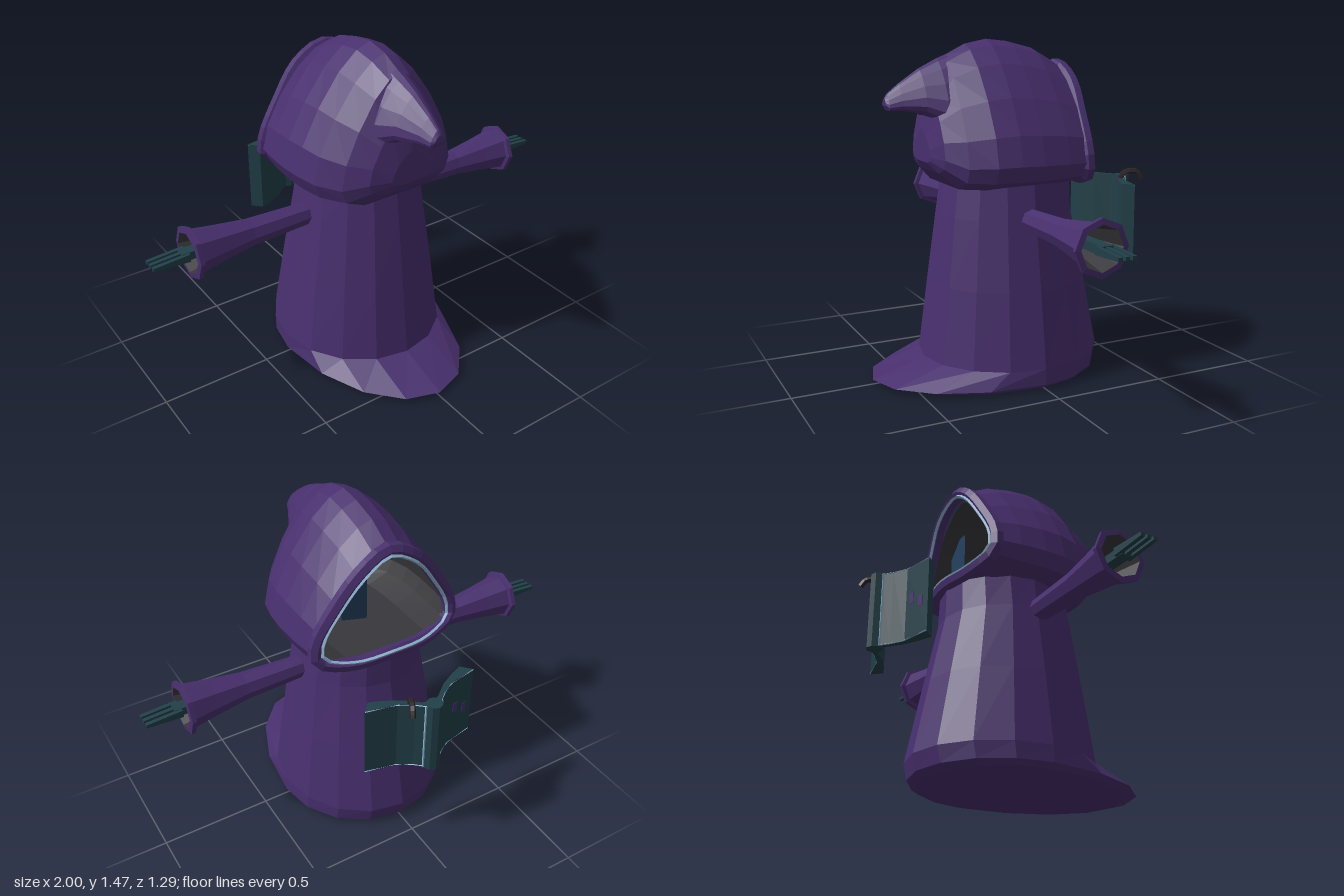
import * as THREE from 'three';

const mat = (name, color, double = false) => {
  const m = new THREE.MeshStandardMaterial({ color });
  m.name = name;
  if (double) m.side = THREE.DoubleSide;
  return m;
};

// Faceted normals for low-poly parts
function facet(geometry) {
  const g = geometry.index ? geometry.toNonIndexed() : geometry;
  g.computeVertexNormals();
  return g;
}

// Skin a list of equal-length rings, each counterclockwise seen from the end
function loft(rings, capStart = false, capEnd = true) {
  const pos = [];
  const tri = (...pts) => pts.forEach((p) => pos.push(p.x, p.y, p.z));
  const n = rings[0].length;
  for (let i = 0; i < rings.length - 1; i++) {
    for (let j = 0; j < n; j++) {
      const k = (j + 1) % n;
      tri(rings[i][j], rings[i][k], rings[i + 1][k]);
      tri(rings[i][j], rings[i + 1][k], rings[i + 1][j]);
    }
  }
  const cap = (ring, flip) => {
    const c = ring.reduce((s, p) => s.add(p), new THREE.Vector3()).divideScalar(n);
    ring.forEach((p, j) => {
      const q = ring[(j + 1) % n];
      flip ? tri(c, q, p) : tri(c, p, q);
    });
  };
  if (capStart) cap(rings[0], true);
  if (capEnd) cap(rings[rings.length - 1], false);
  const g = new THREE.BufferGeometry();
  g.setAttribute('position', new THREE.Float32BufferAttribute(pos, 3));
  g.computeVertexNormals();
  return g;
}

// Horizontal robe ring with separate depths toward -z and +z
function robeRing([y, half, zMinus, zPlus], n = 16) {
  return Array.from({ length: n }, (_, i) => {
    const a = (i / n) * Math.PI * 2;
    const s = -Math.sin(a);
    return new THREE.Vector3(Math.cos(a) * half, y, s > 0 ? s * zPlus : s * zMinus);
  });
}

// Upright hood section, wide at the bottom and pointed at the top
const HALF = [[0, 0], [0.6, 0], [0.92, 0.07], [1, 0.18], [0.92, 0.38], [0.7, 0.62], [0.42, 0.84], [0.18, 0.96], [0, 1]];
const OUTLINE = [...HALF, ...HALF.slice(1, -1).reverse().map(([x, y]) => [-x, y])];
function hoodRing([z, w, yb, yt, lip = 0]) {
  return OUTLINE.map(([x, y]) => new THREE.Vector3(
    x * w, yb + (yt - yb) * y, z - (y < 0.1 ? lip * (1 - x * x) : 0)));
}

export function createModel() {
  const root = new THREE.Group();
  const purple = mat('purple cloth', 0x482f6e);
  const lining = mat('dark lining', 0x38373b, true);
  const teal = mat('teal', 0x213f48);
  const pale = mat('pale blue trim', 0x8fb3d0);
  const blue = mat('blue face', 0x24405f, true);
  const brown = mat('dark brown ribbon', 0x2b2327);
  const add = (name, geometry, material, parent = root) => {
    const m = new THREE.Mesh(geometry, material);
    m.name = name;
    parent.add(m);
    return m;
  };

  // Robe with a trailing hem
  add('robe', loft([
    [0, 0.36, 0.365, 0.58], [0.02, 0.385, 0.4, 0.645], [0.09, 0.383, 0.417, 0.405],
    [0.42, 0.335, 0.35, 0.362], [0.72, 0.287, 0.287, 0.322], [0.87, 0.265, 0.285, 0.3],
  ].map((r) => robeRing(r)), true), purple);

  // Hood shell, drooping tip and dark inside
  const shell = [
    [-0.22, 0.345, 0.865, 1.375, 0.07], [-0.12, 0.36, 0.855, 1.43], [0, 0.367, 0.85, 1.46],
    [0.1, 0.362, 0.85, 1.47], [0.2, 0.342, 0.85, 1.45], [0.3, 0.275, 0.855, 1.4],
    [0.37, 0.19, 0.92, 1.27], [0.4, 0.1, 0.96, 1.1],
  ];
  add('hood', loft(shell.map(hoodRing)), purple);
  add('hoodTip', loft([
    [0.24, 0.17, 1.1, 1.425], [0.33, 0.15, 1.12, 1.39], [0.41, 0.105, 1.165, 1.35],
    [0.5, 0.06, 1.18, 1.29], [0.55, 0.04, 1.18, 1.25], [0.562, 0.025, 1.2, 1.232],
  ].map(hoodRing)), purple);
  add('hoodLining', loft(shell.slice(0, 6).map(([z, w, yb, yt, lip]) =>
    hoodRing([z, w * 0.92, yb + 0.03, yt - 0.05, lip]))), lining);

  // Rolled rim and thin trim around the opening
  const side = [[0.13, 1.29, -0.25], [0.24, 1.15, -0.235], [0.325, 1.0, -0.225], [0.325, 0.92, -0.23], [0.19, 0.875, -0.265]];
  const loop = [[0, 1.355, -0.245], ...side, [0, 0.88, -0.285],
    ...side.slice().reverse().map(([x, y, z]) => [-x, y, z])];
  const ringTube = (scale, dz, r, sides) => facet(new THREE.TubeGeometry(
    new THREE.CatmullRomCurve3(loop.map(([x, y, z]) =>
      new THREE.Vector3(x * scale, 1.08 + (y - 1.08) * scale, z + dz)), true), 36, r, sides, true));
  add('hoodRim', ringTube(1, 0, 0.03, 6), purple);
  add('hoodTrim', ringTube(0.92, -0.022, 0.008, 4), pale);

  // Face panel inside the hood
  const face = new THREE.Shape([[0.05, 1.0], [0.17, 1.03], [0.18, 1.12], [0.1, 1.2], [0.05, 1.2]]
    .map(([x, y]) => new THREE.Vector2(x, y)));
  add('facePanel', new THREE.ShapeGeometry(face), blue).position.z = -0.17;

  // Sleeves with open cuffs, and flat hands
  const v2 = (pts) => pts.map(([r, h]) => new THREE.Vector2(r, h));
  const sleeve = facet(new THREE.LatheGeometry(v2([[0.048, 0.24], [0.052, 0.33], [0.06, 0.55], [0.08, 0.7],
    [0.097, 0.808], [0.115, 0.812], [0.117, 0.832], [0.092, 0.835]]), 8));
  const inner = facet(new THREE.LatheGeometry(v2([[0.001, 0.58], [0.045, 0.58], [0.07, 0.72], [0.092, 0.835]]), 8));
  for (const s of [1, -1]) {
    const arm = new THREE.Group();
    arm.name = s > 0 ? 'leftArm' : 'rightArm';
    arm.position.set(0, 0.717, 0.015);
    root.add(arm);
    for (const [name, g, m] of [['sleeve', sleeve, purple], ['sleeveLining', inner, lining]]) {
      add(name, g, m, arm).rotation.z = -s * Math.PI / 2;
    }
    add('palm', new THREE.BoxGeometry(0.24, 0.036, 0.05), teal, arm).position.x = s * 0.75;
    for (const z of [-0.03, 0, 0.03]) {
      const finger = new THREE.BoxGeometry(0.16, 0.034, 0.018);
      const p = finger.attributes.position;
      for (let i = 0; i < p.count; i++) if (p.getX(i) * s > 0) p.setY(i, p.getY(i) * 0.45);
      add('finger', facet(finger), teal, arm).position.set(s * 0.92, 0, z);
    }
  }

  // Open floating book with curved covers
  const book = new THREE.Group();
  book.name = 'book';
  root.add(book);
  const outer = [[0.03, 0.61], [0.07, 0.575], [0.13, 0.538], [0.265, 0.508]];
  const inside = [[0.225, 0.465], [0.17, 0.487], [0.1, 0.525], [0.04, 0.575]];
  const right = [...outer, ...inside];
  const pages = new THREE.Shape(v2([...right, [0, 0.595],
    ...right.slice().reverse().map(([x, y]) => [-x, y]), [0, 0.63]]));
  const covers = add('bookCovers', facet(new THREE.ExtrudeGeometry(pages, { depth: 0.33, bevelEnabled: false })), teal, book);
  covers.rotation.x = -Math.PI / 2;
  covers.position.y = 0.5;
  add('spine', facet(new THREE.CylinderGeometry(0.036, 0.036, 0.336, 8)), teal, book).position.set(0, 0.665, -0.608);
  for (const s of [1, -1]) {
    add('spineTrim', new THREE.BoxGeometry(0.007, 0.33, 0.007), pale, book).position.set(s * 0.038, 0.665, -0.605);
    for (const y of [0.503, 0.827]) {
      const edge = new THREE.CatmullRomCurve3(outer.map(([x, z]) => new THREE.Vector3(s * x, y, -z)));
      add('coverTrim', facet(new THREE.TubeGeometry(edge, 8, 0.003, 4)), pale, book);
    }
  }
  // Cover marks
  for (const [x, y] of [[-0.165, 0.68], [-0.22, 0.65]]) {
    const mark = add('coverMark', new THREE.BoxGeometry(0.025, 0.05, 0.004), purple, book);
    mark.position.set(x, y, -0.538 + (-x - 0.13) * 0.222);
    mark.rotation.y = 0.22;
  }
  // Bookmark ribbon arching over the cover
  const ribbon = new THREE.CatmullRomCurve3([[0.08, 0.81, -0.55], [0.085, 0.85, -0.56], [0.1, 0.865, -0.59],
    [0.115, 0.86, -0.62], [0.125, 0.83, -0.638]].map((p) => new THREE.Vector3(...p)));
  add('bookmark', facet(new THREE.TubeGeometry(ribbon, 10, 0.013, 5)), brown, book);

  return root;
}
